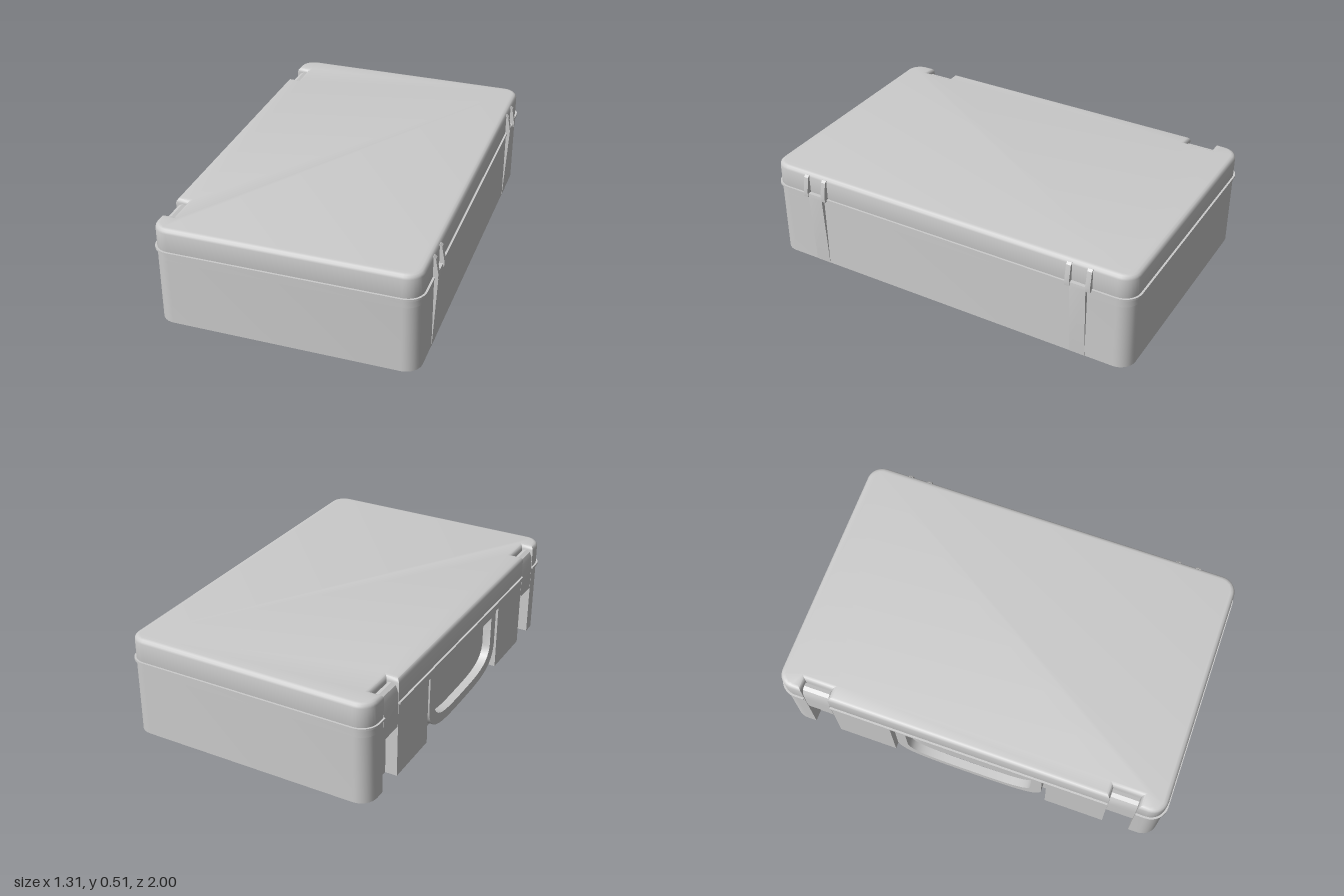
import * as THREE from 'three';
import { toCreasedNormals } from 'three/addons/utils/BufferGeometryUtils.js';

const grey = new THREE.MeshStandardMaterial({ color: 0xcccccc });
const LEFT = -0.645, RIGHT = 0.63, HALF = 0.99, R = 0.08;
const LATCH_Z = 0.79, HINGE_Z = 0.728, RECESS_TOP = 0.345, FLOOR = -0.585;

function addMesh(parent, name, geometry) {
  const mesh = new THREE.Mesh(toCreasedNormals(geometry, 0.65), grey);
  mesh.name = name;
  parent.add(mesh);
  return mesh;
}

// Plan outline of the case with latch slots, and optionally the handle recess
function outline(grow, recess) {
  const l = LEFT - grow, r = RIGHT + grow, h = HALF + grow, c = R + grow;
  const s = new THREE.Shape();
  s.absarc(r - c, -h + c, c, -Math.PI / 2, 0);
  s.absarc(r - c, h - c, c, 0, Math.PI / 2);
  s.absarc(l + c, h - c, c, Math.PI / 2, Math.PI);
  const cuts = [[LATCH_Z, 0.07], [-LATCH_Z, 0.07]];
  if (recess) cuts.splice(1, 0, [0, 0.41]);
  for (const [z, half] of cuts) {
    s.lineTo(l, z + half);
    s.lineTo(FLOOR, z + half);
    s.lineTo(FLOOR, z - half);
    s.lineTo(l, z - half);
  }
  s.absarc(l + c, -h + c, c, Math.PI, Math.PI * 1.5);
  s.closePath();
  return s;
}

// Horizontal slab of the case between two heights
function slab(y0, y1, { grow = 0, recess = false, bevel = 0 } = {}) {
  const g = new THREE.ExtrudeGeometry(outline(grow, recess), {
    depth: y1 - y0 - 2 * bevel, curveSegments: 4, bevelEnabled: bevel > 0,
    bevelSize: bevel, bevelThickness: bevel, bevelOffset: -bevel, bevelSegments: 3,
  });
  return g.rotateX(-Math.PI / 2).translate(0, y0 + bevel, 0);
}

// Side profile in x,y extruded along z, centred on z
function profile(points, width, z) {
  const s = new THREE.Shape(points.map(([x, y]) => new THREE.Vector2(x, y)));
  return new THREE.ExtrudeGeometry(s, { depth: width, bevelEnabled: false })
    .translate(0, 0, z - width / 2);
}

// U-shaped path with a bowed lower bar
function bow(path, half, top, side, low) {
  path.moveTo(-half, top);
  path.lineTo(-half, side);
  path.bezierCurveTo(-half + 0.02, low, -half * 0.55, low, 0, low);
  path.bezierCurveTo(half * 0.55, low, half - 0.02, low, half, side);
  path.lineTo(half, top);
  path.closePath();
  return path;
}

export function createModel() {
  const model = new THREE.Group();
  model.name = 'carryingCase';

  // Shell: base, sealing rim and lid with a rounded top edge
  addMesh(model, 'base', slab(0, RECESS_TOP, { recess: true }));
  addMesh(model, 'baseTop', slab(RECESS_TOP, 0.386));
  addMesh(model, 'rim', slab(0.385, 0.395, { grow: 0.01 }));
  addMesh(model, 'lid', slab(0.366, 0.512, { bevel: 0.022 }));

  // Folding handle hanging in the recess
  const ring = bow(new THREE.Shape(), 0.385, RECESS_TOP, 0.14, 0.012);
  ring.holes.push(bow(new THREE.Path(), 0.33, 0.325, 0.16, 0.06));
  const handle = new THREE.ExtrudeGeometry(ring, { depth: 0.042, bevelEnabled: false, curveSegments: 10 });
  handle.rotateY(-Math.PI / 2).translate(-0.6, 0, 0);
  addMesh(model, 'handle', handle);

  for (const side of [1, -1]) {
    // Latch plate with a rounded top, bridging lid and base
    addMesh(model, 'latch', profile([
      [-0.592, 0.27], [-0.592, 0.485], [-0.61, 0.49], [-0.63, 0.48],
      [-0.641, 0.455], [-0.645, 0.39], [-0.645, 0.27],
    ], 0.135, side * LATCH_Z));

    // Hinge: two upper ribs and a plate tapering into the wall
    const hinge = new THREE.Group();
    hinge.name = 'hinge';
    model.add(hinge);
    for (const end of [1, -1]) {
      addMesh(hinge, 'hingeRib', profile([
        [0.61, 0.385], [0.653, 0.385], [0.655, 0.41], [0.641, 0.49], [0.63, 0.5], [0.61, 0.5],
      ], 0.024, side * HINGE_Z + end * 0.052));
    }
    addMesh(hinge, 'hingePlate', profile([
      [0.61, 0], [0.631, 0], [0.65, 0.385], [0.648, 0.405], [0.61, 0.405],
    ], 0.08, side * HINGE_Z));
  }
  return model;
}
